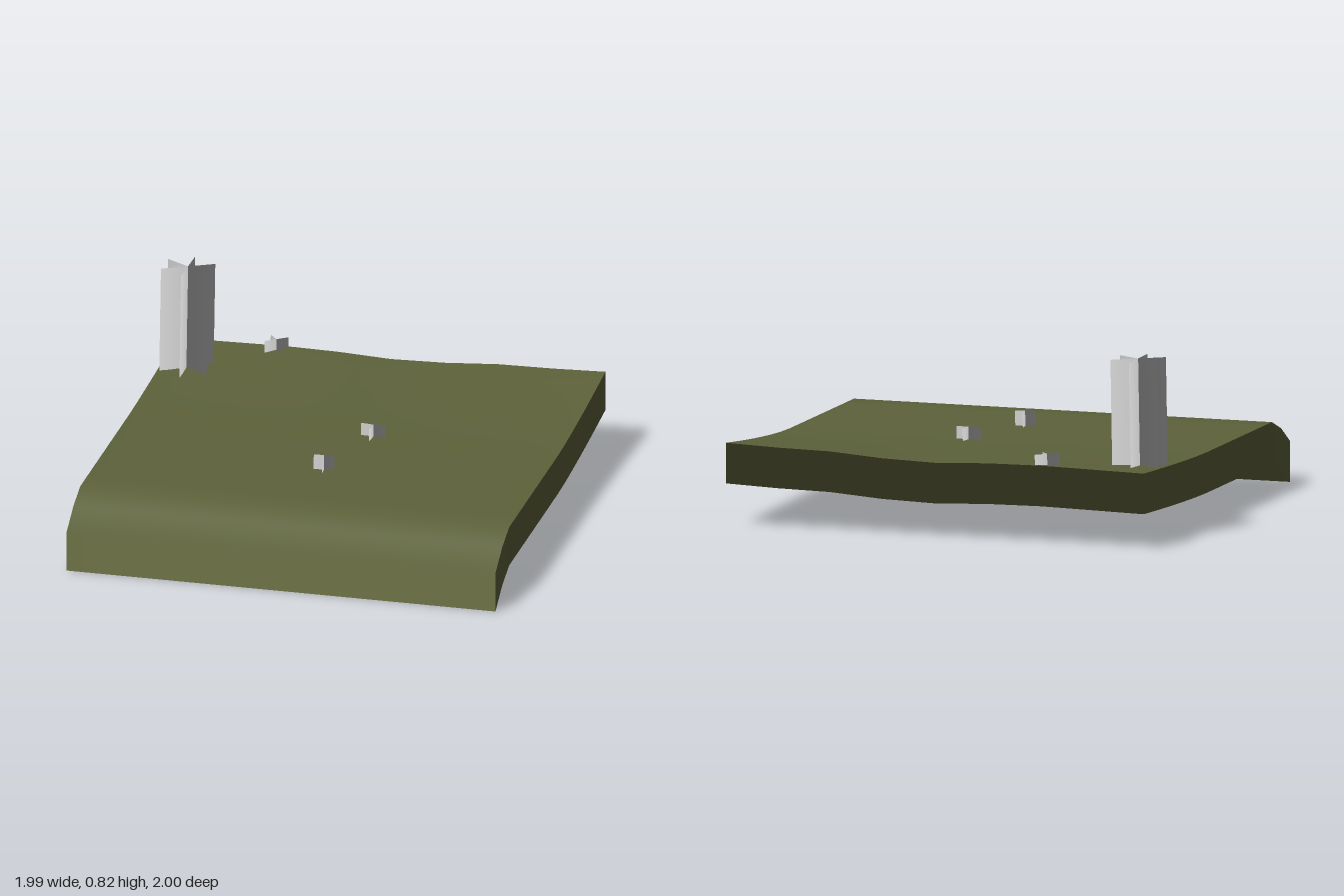
import * as THREE from 'three';

const HALF_X = 0.995;
const SKIRT = 0.185;
const CELL = 0.125;

// linear lookup in an evenly spaced table, t in 0..1
function lookup(table, t) {
  const f = THREE.MathUtils.clamp(t, 0, 1) * (table.length - 1);
  const i = Math.min(Math.floor(f), table.length - 2);
  return THREE.MathUtils.lerp(table[i], table[i + 1], f - i);
}

// ground height: a lip falling away at the front, a wavy rise at the back
const FRONT = [0.312, 0.265, 0.186];
const RIDGE = [0.035, 0.04, 0.045, 0.042, 0.031, 0.038, 0.056, 0.06, 0.069];
function height(x, z) {
  if (z > 0.75) return lookup(FRONT, (z - 0.75) / 0.25);
  const t = Math.max(0, (-0.15 - z) / 0.85);
  return FRONT[0] + lookup(RIDGE, (x + 1) / 2) * Math.pow(t, 1.4);
}

// smooth ground normal, leaning slightly inwards along the two sides
function groundNormal(x, z) {
  const clamp = (v) => THREE.MathUtils.clamp(v, -1, 1);
  const slopeX = (height(clamp(x + CELL), z) - height(clamp(x - CELL), z)) / (2 * CELL);
  const slopeZ = (height(x, clamp(z + CELL)) - height(x, clamp(z - CELL))) / (2 * CELL);
  const lean = Math.abs(x) > 0.98 ? -0.05 * Math.sign(x) : 0;
  return new THREE.Vector3(lean - slopeX, 1, -slopeZ).normalize();
}

// lifts a flat sheet or rim onto the ground surface
function drape(name, geo, material) {
  geo.scale(HALF_X, 1, 1);
  const pos = geo.attributes.position, nor = geo.attributes.normal;
  for (let i = 0; i < pos.count; i++) {
    const x = pos.getX(i), z = pos.getZ(i);
    const n = groundNormal(x, z);
    pos.setY(i, pos.getY(i) + height(x, z));
    nor.setXYZ(i, n.x, n.y, n.z);
  }
  const mesh = new THREE.Mesh(geo, material);
  mesh.name = name;
  return mesh;
}

// open ground sheet with a skirt hanging from each edge
function makeGround(material) {
  const ground = new THREE.Group();
  ground.name = 'ground';
  ground.add(drape('groundSheet', new THREE.PlaneGeometry(2, 2, 16, 16).rotateX(-Math.PI / 2), material));
  ['frontSkirt', 'leftSkirt', 'backSkirt', 'rightSkirt'].forEach((name, i) => {
    const geo = new THREE.PlaneGeometry(2, SKIRT, 16, 1);
    geo.translate(0, -SKIRT / 2, 1).rotateY(i * Math.PI / 2);
    ground.add(drape(name, geo, material));
  });
  return ground;
}

// tuft of upright cards crossing on one axis, with soft upward normals
function makeTuft(name, { x, z, top, half, angles }, material) {
  const tuft = new THREE.Group();
  tuft.name = name;
  const bottom = height(x, z) - 0.004;
  for (const angle of angles) {
    const geo = new THREE.PlaneGeometry(half * 2, top - bottom, 2, 1);
    const pos = geo.attributes.position, nor = geo.attributes.normal;
    for (let i = 0; i < pos.count; i++) {
      const out = pos.getX(i) / half;
      const n = new THREE.Vector3(out * 0.55, 0.85, 0);
      n.applyAxisAngle(THREE.Object3D.DEFAULT_UP, 0.12).normalize();
      nor.setXYZ(i, n.x, n.y, n.z);
    }
    const card = new THREE.Mesh(geo, material);
    card.name = 'grassCard';
    card.rotation.y = THREE.MathUtils.degToRad(angle);
    tuft.add(card);
  }
  tuft.position.set(x, (top + bottom) / 2, z);
  tuft.rotation.set(-0.015, 0, -0.012);
  return tuft;
}

export function createModel() {
  const side = THREE.DoubleSide;
  const grassGreen = new THREE.MeshStandardMaterial({ name: 'grassGreen', color: 0x5c613a, side });
  const paleGrey = new THREE.MeshStandardMaterial({ name: 'paleGrey', color: 0xbababa, side });

  const model = new THREE.Group();
  model.name = 'terrainTile';
  model.add(makeGround(grassGreen));

  const tufts = {
    tallTuft: { x: -0.87, z: -0.705, top: 0.82, half: 0.127, angles: [30, 90, 150] },
    backTuft: { x: -0.52, z: -0.955, top: 0.405, half: 0.06, angles: [40, 130] },
    middleTuft: { x: 0.135, z: -0.153, top: 0.37, half: 0.06, angles: [-6, 84] },
    frontTuft: { x: 0.017, z: 0.285, top: 0.382, half: 0.047, angles: [5, 95] },
  };
  for (const [name, spec] of Object.entries(tufts)) model.add(makeTuft(name, spec, paleGrey));
  return model;
}
